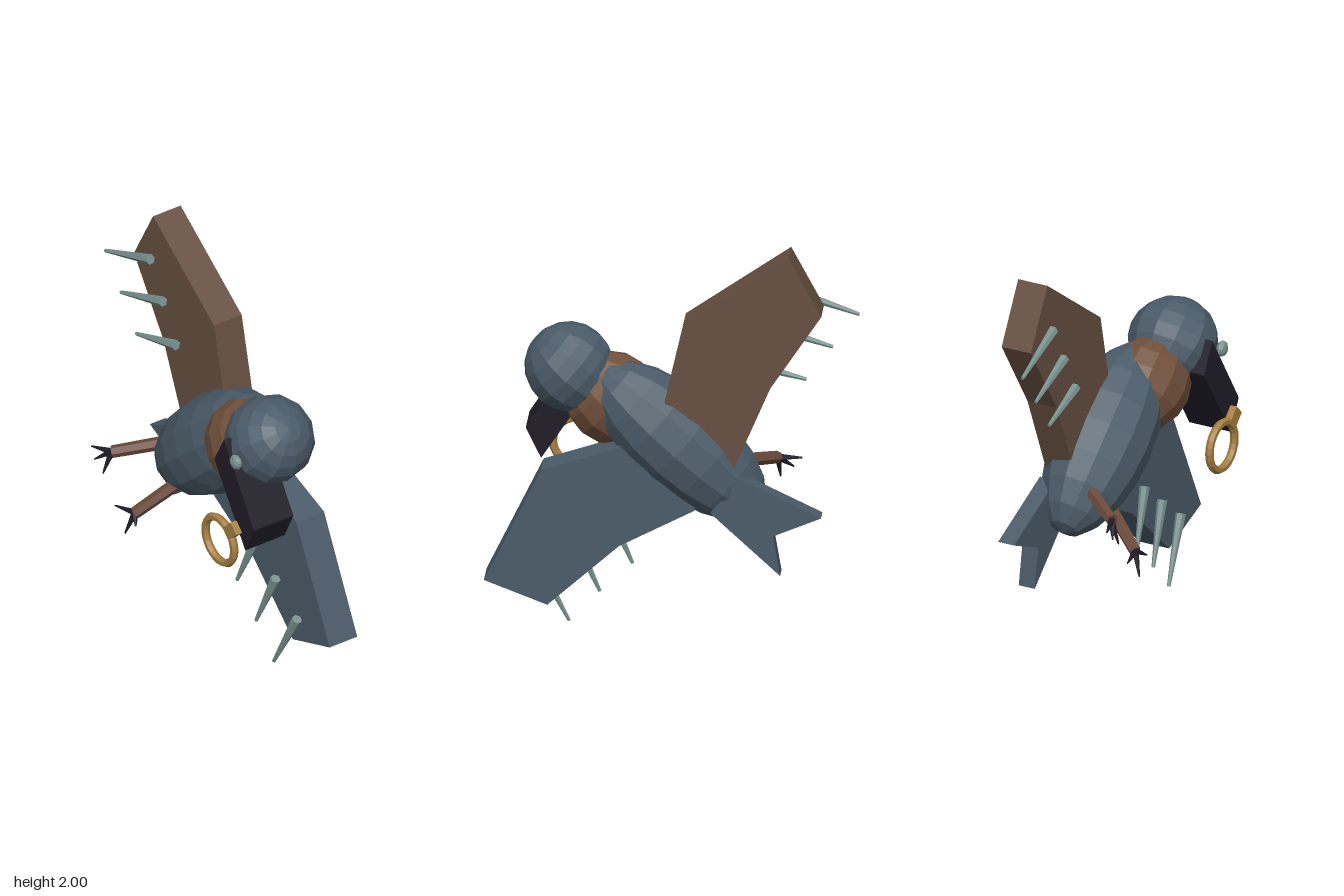
import * as THREE from 'three';

const mat = (name, color) => {
  const m = new THREE.MeshStandardMaterial({ color });
  m.name = name;
  m.flatShading = true;
  return m;
};

export function createModel() {
  const slate = mat('slate feathers', 0x4a5b68);
  const brown = mat('brown wing', 0x664f40);
  const rust = mat('rust collar', 0x70503a);
  const legBrown = mat('leg brown', 0x6b4a3a);
  const dark = mat('dark horn', 0x1f1c28);
  const gold = mat('gold', 0xa67f40);
  const teal = mat('pale teal', 0x78918f);

  const model = new THREE.Group();
  model.name = 'bird';
  const V = (p) => new THREE.Vector3(...p);
  const TILT = 0.73; // body axis angle above the horizontal

  const add = (name, geometry, material, parent = model) => {
    const m = new THREE.Mesh(geometry, material);
    m.name = name;
    parent.add(m);
    return m;
  };

  // Faceted ellipsoid whose poles lie along the body axis
  const ellipsoid = (name, material, radii, position, ws = 12, hs = 10) => {
    const g = new THREE.SphereGeometry(1, ws, hs);
    g.rotateZ(-Math.PI / 2);
    g.scale(...radii);
    const m = add(name, g, material);
    m.rotation.z = TILT;
    m.position.set(...position);
    return m;
  };

  // Flat outline extruded between two depths
  const slab = (name, material, points, zBack, zFront) => {
    const shape = new THREE.Shape(points.map(([x, y]) => new THREE.Vector2(x, y)));
    const g = new THREE.ExtrudeGeometry(shape, { depth: zFront - zBack, bevelEnabled: false });
    g.translate(0, 0, zBack);
    return add(name, g, material);
  };

  // Tapered rod between two points
  const rod = (name, material, from, to, r0, r1, sides = 6, parent = model) => {
    const a = V(from), b = V(to), d = b.clone().sub(a);
    const m = add(name, new THREE.CylinderGeometry(r1, r0, d.length(), sides), material, parent);
    m.position.copy(a).add(b).multiplyScalar(0.5);
    m.quaternion.setFromUnitVectors(new THREE.Vector3(0, 1, 0), d.normalize());
    return m;
  };

  // Body, collar and head
  ellipsoid('body', slate, [0.53, 0.25, 0.245], [-0.03, 0.98, -0.075]);
  ellipsoid('collar', rust, [0.235, 0.235, 0.2], [0.3, 1.168, -0.01], 12, 8);
  ellipsoid('head', slate, [0.222, 0.222, 0.225], [0.51, 1.318, 0.005]);

  // Wings and forked tail
  slab('rightWing', brown, [
    [-0.58, 2.0], [-0.74, 1.7], [-0.49, 1.32], [-0.3, 0.87], [0.03, 1.22], [-0.065, 1.64],
  ], -0.235, -0.07);
  slab('leftWing', slate, [
    [0.91, 0.285], [0.63, 0.865], [0.25, 0.99], [-0.12, 0.675], [0.25, 0.48], [0.6, 0.165],
  ], -0.235, -0.07);
  slab('tail', slate, [
    [-0.74, 0.66], [-0.505, 0.56], [-0.54, 0.355], [-0.2, 0.67], [-0.335, 0.855],
  ], -0.255, -0.165);

  // Spike feathers along the wing edges
  const spikes = [
    [[-0.565, 1.765], [-0.91, 1.64]],
    [[-0.46, 1.575], [-0.78, 1.467]],
    [[-0.35, 1.38], [-0.65, 1.295]],
    [[0.32, 0.605], [0.2, 0.315]],
    [[0.49, 0.47], [0.36, 0.165]],
    [[0.67, 0.33], [0.51, 0.008]],
  ];
  for (const [a, b] of spikes) {
    rod('wingSpike', teal, [...a, -0.045], [...b, -0.02], 0.026, 0.009);
  }

  // Beak and eye
  slab('beak', dark, [[0.47, 1.385], [0.39, 1.23], [0.65, 0.835], [0.725, 0.99]], 0.015, 0.25);
  ellipsoid('eye', teal, [0.04, 0.04, 0.026], [0.568, 1.307, 0.248], 8, 6);

  // Ring with its clasp, hanging from the beak
  const ring = new THREE.Group();
  ring.name = 'ring';
  ring.position.set(0.493, 0.828, 0.29);
  model.add(ring);
  add('band', new THREE.TorusGeometry(0.121, 0.021, 6, 24), gold, ring);
  const clasp = add('clasp', new THREE.BoxGeometry(0.095, 0.068, 0.036), gold, ring);
  clasp.position.set(0.105, 0.112, 0);
  clasp.rotation.z = Math.PI / 4;

  // Legs with clawed toes
  const legs = [
    { hip: [-0.33, 0.85, 0.02], foot: [-0.49, 0.79, 0.24],
      toes: [[-0.607, 0.775, 0.28], [-0.565, 0.725, 0.29], [-0.5, 0.675, 0.285]] },
    { hip: [-0.19, 0.7, 0.06], foot: [-0.28, 0.55, 0.25],
      toes: [[-0.405, 0.537, 0.28], [-0.308, 0.43, 0.29], [-0.225, 0.515, 0.285]] },
  ];
  for (const { hip, foot, toes } of legs) {
    const leg = new THREE.Group();
    leg.name = 'leg';
    model.add(leg);
    rod('shin', legBrown, hip, foot, 0.034, 0.031, 6, leg);
    for (const tip of toes) rod('toe', dark, foot, tip, 0.018, 0.004, 5, leg);
  }

  return model;
}
